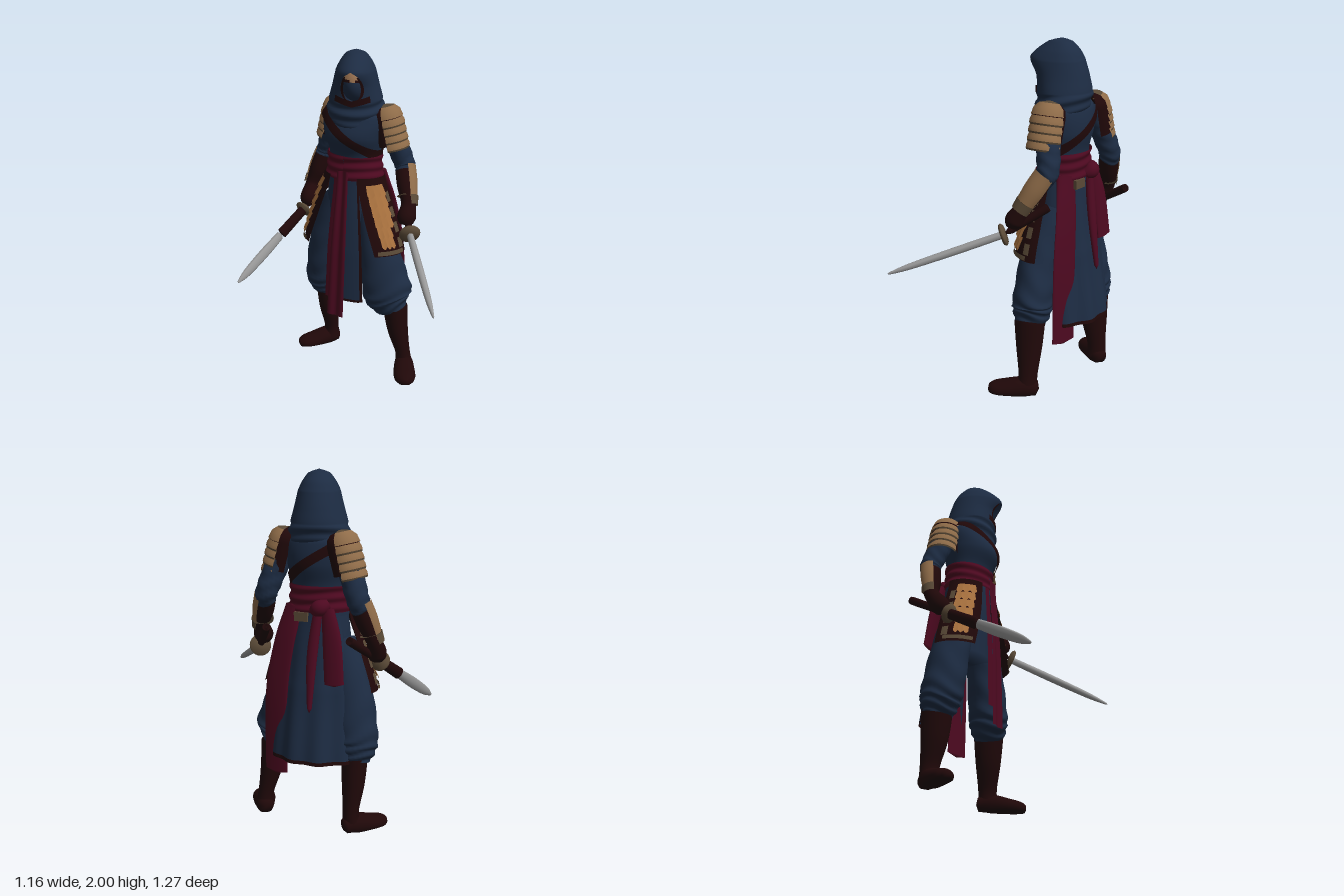
import * as THREE from 'three';
import { ParametricGeometry } from 'three/addons/geometries/ParametricGeometry.js';

const mat = (name, color) => {
  const m = new THREE.MeshStandardMaterial({ color, side: THREE.DoubleSide });
  m.name = name;
  return m;
};
const M = {
  blue: mat('blue cloth', 0x1d2c43), dark: mat('dark leather', 0x200809), red: mat('crimson sash', 0x4d0920),
  tan: mat('tan leather', 0x8f6c49), orange: mat('orange leather', 0xa56f3d), brown: mat('brown leather', 0x5a4a37),
  steel: mat('steel', 0x9a9a9a), skin: mat('skin', 0x987150),
};
const rad = THREE.MathUtils.degToRad;
const lerp = THREE.MathUtils.lerp;
const mix = (p, q, t) => [0, 1, 2].map((k) => lerp(p[k], q[k], t));

function add(parent, name, geo, material) {
  const m = new THREE.Mesh(geo, material);
  m.name = name;
  parent.add(m);
  return m;
}

// Catmull-Rom lookup in rows of [y, side radius, front radius, back radius], listed from top to bottom
function radii(rows, y) {
  let i = 0;
  while (i < rows.length - 2 && y < rows[i + 1][0]) i++;
  const t = THREE.MathUtils.clamp((rows[i][0] - y) / (rows[i][0] - rows[i + 1][0]), 0, 1);
  const at = (k) => rows[Math.min(Math.max(k, 0), rows.length - 1)];
  return [1, 2, 3].map((j) => {
    const [a, b, c, d] = [at(i - 1)[j], at(i)[j], at(i + 1)[j], at(i + 2)[j]];
    return 0.5 * (2 * b + (c - a) * t + (2 * a - 5 * b + 4 * c - d) * t * t + (3 * b - a - 3 * c + d) * t ** 3);
  });
}

// Surface wrapped round a body profile: f(u, v) gives [angle in degrees, height, offset]
function wrap(rows, f, nu = 32, nv = 20) {
  return new ParametricGeometry((u, v, p) => {
    const [deg, y, off = 0] = f(u, v);
    const [rx, rf, rb] = radii(rows, y);
    const a = rad(deg), c = Math.cos(a);
    p.set(Math.sin(a) * (rx + off), y, c * ((c > 0 ? rf : rb) + off));
  }, nu, nv);
}
const panel = (rows, a0, a1, y0, y1, off = 0, nu = 16, nv = 14) =>
  wrap(rows, (u, v) => [lerp(a0, a1, u), lerp(y0, y1, v), off], nu, nv);

// Tapered limb along points [x, y, z, radius 1, radius 2], with optional arc and wrinkles
function limb(pts, { ref = [0, 0, 1], arc = [0, 360], wrinkle = 0, nu = 18, nv = 24 } = {}) {
  const curve = (f) => new THREE.CatmullRomCurve3(pts.map((p) => new THREE.Vector3(...f(p))), false, 'catmullrom');
  const path = curve((p) => p.slice(0, 3)), size = curve((p) => [p[3], p[4] ?? p[3], 0]);
  const up = new THREE.Vector3(...ref);
  const open = arc[1] - arc[0] < 360;
  return new ParametricGeometry((u, v, p) => {
    const T = path.getTangent(v), r = size.getPoint(v);
    const s = up.clone().cross(T).normalize(), w = T.clone().cross(s);
    const a = rad(lerp(arc[0], arc[1], u));
    const cap = !open && (v < 1e-9 || v > 1 - 1e-9) ? 0.02 : 1;
    const k = cap * (1 + wrinkle * v * Math.sin(v * 38 + 2 * Math.sin(a * 2)));
    p.copy(path.getPoint(v)).addScaledVector(s, Math.cos(a) * r.x * k).addScaledVector(w, Math.sin(a) * r.y * k);
    p.y = Math.max(p.y, 0);
  }, nu, nv);
}

const TORSO = [[1.74, 0.06, 0.06, 0.06], [1.69, 0.13, 0.09, 0.1], [1.62, 0.2, 0.13, 0.14], [1.5, 0.19, 0.17, 0.15],
  [1.38, 0.16, 0.125, 0.125], [1.22, 0.17, 0.135, 0.13]];
const SKIRT = [[1.25, 0.17, 0.138, 0.135], [1.0, 0.215, 0.16, 0.165], [0.8, 0.25, 0.175, 0.2], [0.36, 0.285, 0.19, 0.265]];
const GUARD = [[1.27, 0.19, 0.15, 0.15], [1.0, 0.275, 0.2, 0.18], [0.78, 0.34, 0.225, 0.2]];
const HOOD = [[2.0, 0.004, 0.004, 0.004], [1.985, 0.055, 0.07, 0.055], [1.94, 0.09, 0.135, 0.1], [1.89, 0.115, 0.178, 0.128],
  [1.8, 0.137, 0.142, 0.155], [1.7, 0.162, 0.132, 0.172], [1.62, 0.165, 0.14, 0.15], [1.55, 0.13, 0.13, 0.1]];

function buildBody(root) {
  const g = new THREE.Group();
  g.name = 'body';
  g.position.set(0.11, 0, -0.28);
  g.rotation.y = rad(-28);
  root.add(g);
  add(g, 'tunic', panel(TORSO, 0, 360, 1.74, 1.22, 0, 36, 24), M.blue);
  add(g, 'hips', limb([[0, 1.27, 0, 0.155, 0.12], [0, 1.05, 0, 0.18, 0.125], [0, 0.8, 0, 0.17, 0.12]]), M.blue);
  // Diagonal strap from right shoulder to left waist
  add(g, 'chestStrap', wrap(TORSO, (u, v) => [u * 360, 1.52 - 0.13 * Math.sin(u * Math.PI * 2) + (v - 0.5) * 0.062, 0.012], 48, 2), M.dark);
  // Waist sash in overlapping turns
  add(g, 'waistSash', wrap(TORSO, (u, v) => [u * 360, lerp(1.385, 1.24, v), 0.012 + 0.005 * Math.sin(v * 16 + Math.sin(u * 12))], 40, 18), M.red);
  // Front cloths and back skirt
  add(g, 'frontCloth', panel(SKIRT, 0, 29, 1.25, 0.49, 0.003), M.blue);
  add(g, 'frontSideTrim', panel(SKIRT, 29, 33, 1.25, 0.48, 0.003, 2), M.dark);
  add(g, 'frontHem', panel(SKIRT, 0, 29, 0.49, 0.475, 0.003, 12, 2), M.dark);
  add(g, 'frontSashTail', wrap(SKIRT, (u, v) => [lerp(lerp(-10, -14, v), lerp(13, 8, v), u), lerp(1.3, 0.37, v), 0.02 + 0.006 * Math.sin(u * 9)], 10, 14), M.red);
  add(g, 'frontSashUnderTail', panel(SKIRT, -20, -9, 1.25, 0.48, 0.01), M.red);
  add(g, 'backSkirt', wrap(SKIRT, (u, v) => [lerp(125, 240, u), lerp(1.26, 0.43, v), 0.008 * v * Math.sin(u * 22)], 40, 16), M.blue);
  add(g, 'backHem', wrap(SKIRT, (u, v) => [lerp(125, 240, u), lerp(0.43, 0.41, v), 0.008 * Math.sin(u * 22)], 40, 2), M.dark);
  // Hip guards: dark backing, edge bands and rows of scales slanting outward
  for (const s of [1, -1]) {
    const h = new THREE.Group();
    h.name = s > 0 ? 'leftHipGuard' : 'rightHipGuard';
    g.add(h);
    add(h, 'backing', wrap(GUARD, (u, v) => [s * lerp(lerp(28, 44, v), 104, u), lerp(1.26, 0.8, v)], 16, 14), M.dark);
    add(h, 'lowerEdge', panel(GUARD, s * 48, s * 88, 0.835, 0.81, 0.012, 16, 2), M.brown);
    for (let i = 0; i < 6; i++) {
      const y = 1.22 - i * 0.06, a0 = 44 + i * 2, a1 = i < 4 ? 80 : 74;
      add(h, 'scaleRow', wrap(GUARD, (u, v) => [s * lerp(a0, a1, u), y - v * (0.056 + 0.016 * Math.abs(Math.sin(u * 9.42))), 0.004 + 0.014 * v], 18, 3),
        M.orange);
    }
    for (let i = 0; i < 4; i++) add(h, 'rimPlate', panel(GUARD, s * 82, s * 92, 1.17 - i * 0.09, 1.11 - i * 0.09, 0.008, 4, 3), M.brown);
  }
  // Knot, hanging ends and buckle at the back
  add(g, 'sashKnot', limb([[-0.1, 1.29, -0.11, 0.03], [-0.06, 1.27, -0.145, 0.045], [-0.02, 1.25, -0.13, 0.03]], { ref: [0, 1, 0] }), M.red);
  add(g, 'shortSashEnd', limb([[-0.1, 1.27, -0.125, 0.035, 0.025], [-0.135, 1.1, -0.15, 0.055, 0.022], [-0.16, 0.85, -0.175, 0.058, 0.016]], { nv: 40 }), M.red);
  add(g, 'thinSashEnd', limb([[-0.05, 1.27, -0.135, 0.025, 0.025], [-0.03, 1.0, -0.18, 0.03, 0.02], [-0.03, 0.7, -0.22, 0.012, 0.012]]), M.red);
  const buckle = add(g, 'backBuckle', new THREE.BoxGeometry(0.08, 0.05, 0.02), M.brown);
  buckle.position.set(0.05, 1.215, -0.142);
}

function buildHead(root) {
  const g = new THREE.Group();
  g.name = 'head';
  g.position.set(0.112, 0, -0.26);
  g.rotation.y = rad(-8);
  root.add(g);
  // Hood with an almond-shaped opening in front, edged in dark leather
  const opening = (y) => 30 * Math.sqrt(Math.max(0, 1 - ((y - 1.805) / 0.088) ** 2));
  add(g, 'hood', wrap(HOOD, (u, v) => {
    const y = 2 - 0.45 * v, o = opening(y);
    return [lerp(o, 360 - o, u), y, y < 1.72 ? 0.006 * Math.sin(y * 95 + 3 * Math.cos(u * 6.28)) : 0];
  }, 40, 45), M.blue);
  for (const s of [1, -1]) add(g, 'hoodEdge', wrap(HOOD, (u, v) => {
    const y = lerp(1.87, 1.725, v);
    return [s * opening(y) * lerp(0.76, 1.02, u), y, -0.004];
  }, 3, 20), M.dark);
  add(g, 'darkCollar', wrap(HOOD, (u, v) => {
    const a = lerp(-40, 40, u);
    return [a, 1.69 + Math.abs(a) * 0.0007 + v * 0.036, 0.007];
  }, 24, 2), M.dark);
  const face = new THREE.Group();
  face.name = 'face';
  face.position.set(0, 1.81, 0.02);
  face.scale.set(0.08, 0.11, 0.098);
  g.add(face);
  const patch = (name, r, phi, dphi, th, dth, m) =>
    add(face, name, new THREE.SphereGeometry(r, 24, 16, rad(phi), rad(dphi), rad(th), rad(dth)), m);
  patch('mask', 1, 0, 360, 0, 180, M.blue);
  patch('brow', 1.03, 35, 110, 44, 36, M.skin);
  for (const phi of [48, 102]) patch('eye', 1.05, phi, 30, 73, 8, M.dark);
}

// Shoulder guard of overlapping plates over a dark lining, open towards the neck
function buildPauldron(root, name, pos, yaw, tilt) {
  const g = new THREE.Group();
  g.name = name;
  g.position.set(...pos);
  g.rotation.set(0, yaw, tilt, 'YXZ');
  root.add(g);
  const plate = (part, pts, m, half = 1.5) =>
    add(g, part, new THREE.LatheGeometry(pts.map((p) => new THREE.Vector2(...p)), 22, Math.PI / 2 - half, half * 2), m);
  plate('lining', [[0.088, -0.16], [0.092, 0], [0.084, 0.036], [0.058, 0.062], [0.01, 0.074]], M.dark, 2.2);
  plate('cap', [[0.097, 0], [0.088, 0.04], [0.06, 0.068]], M.tan);
  plate('capTop', [[0.06, 0.068], [0.01, 0.08]], M.brown);
  for (let i = 0; i < 4; i++) {
    const y = -i * 0.046;
    plate('plate', [[0.101, y - 0.044], [0.1, y - 0.026], [0.088, y + 0.006]], M.tan);
    plate('plateEdge', [[0.097, y - 0.054], [0.101, y - 0.044]], M.brown);
  }
}

function buildArms(root) {
  const arms = [
    { side: 'left', sh: [0.295, 1.61, -0.22], el: [0.405, 1.33, -0.235], wr: [0.435, 1.12, -0.1], hand: [0.425, 1.05, -0.06],
      arc: [-55, 70], yaw: rad(-22), tilt: rad(14), pad: [0.295, 1.61, -0.22] },
    { side: 'right', sh: [-0.01, 1.61, -0.42], el: [-0.075, 1.33, -0.515], wr: [-0.165, 1.1, -0.5], hand: [-0.185, 1.02, -0.45],
      arc: [170, 250], yaw: rad(146), tilt: rad(14), pad: [0.0, 1.61, -0.425] },
  ];
  for (const a of arms) {
    const mid = (t, r) => [...mix(a.el, a.wr, t), r];
    add(root, a.side + 'Sleeve', limb([[...a.sh, 0.078], [...mix(a.sh, a.el, 0.5), 0.068], [...a.el, 0.062], mid(0.3, 0.055)],
      { wrinkle: 0.06 }), M.blue);
    add(root, a.side + 'Glove', limb([mid(0.12, 0.058), mid(0.55, 0.057), [...a.wr, 0.044], [...a.hand, 0.056], [a.hand[0], a.hand[1] - 0.045, a.hand[2] + 0.015, 0.035]]), M.dark);
    add(root, a.side + 'Bracer', limb([mid(0.08, 0.066), mid(0.5, 0.066), mid(0.95, 0.054)], { arc: a.arc }), M.tan);
    add(root, a.side + 'BracerRim', limb([mid(0.8, 0.063), mid(1.05, 0.056)], { arc: a.arc, nv: 3 }), M.brown);
    buildPauldron(root, a.side + 'Pauldron', a.pad, a.yaw, a.tilt);
  }
}

function buildLegs(root) {
  const baggy = { wrinkle: 0.06, nu: 26, nv: 36 }, flat = { ref: [0, 1, 0] };
  add(root, 'leftTrouser', limb([[0.2, 1.1, -0.23, 0.09, 0.09], [0.26, 0.82, -0.175, 0.115, 0.105], [0.315, 0.56, -0.145, 0.15, 0.115],
    [0.335, 0.48, -0.14, 0.135, 0.11], [0.37, 0.41, -0.135, 0.08, 0.085]], baggy), M.blue);
  add(root, 'rightTrouser', limb([[0.02, 1.1, -0.33, 0.09, 0.09], [-0.05, 0.82, -0.38, 0.115, 0.11], [-0.075, 0.56, -0.42, 0.125, 0.12],
    [-0.075, 0.47, -0.435, 0.115, 0.11], [-0.07, 0.4, -0.445, 0.078, 0.085]], baggy), M.blue);
  add(root, 'leftBootShaft', limb([[0.37, 0.45, -0.135, 0.078, 0.09], [0.39, 0.28, -0.135, 0.065, 0.075], [0.425, 0.12, -0.135, 0.046, 0.055],
    [0.435, 0.03, -0.13, 0.055, 0.06]]), M.dark);
  add(root, 'rightBootShaft', limb([[-0.07, 0.45, -0.445, 0.075, 0.09], [-0.06, 0.28, -0.455, 0.065, 0.078], [-0.045, 0.12, -0.475, 0.046, 0.055],
    [-0.05, 0.03, -0.475, 0.055, 0.06]]), M.dark);
  add(root, 'leftFoot', limb([[0.43, 0.035, -0.2, 0.04, 0.04], [0.435, 0.04, -0.12, 0.058, 0.06], [0.44, 0.025, 0.0, 0.068, 0.05],
    [0.442, 0.02, 0.06, 0.056, 0.04], [0.442, 0.018, 0.095, 0.025, 0.022]], flat), M.dark);
  add(root, 'rightFoot', limb([[0.0, 0.035, -0.505, 0.04, 0.04], [-0.06, 0.04, -0.475, 0.058, 0.06], [-0.16, 0.025, -0.425, 0.066, 0.05],
    [-0.22, 0.02, -0.395, 0.055, 0.04], [-0.255, 0.018, -0.38, 0.025, 0.022]], flat), M.dark);
  // Long sash end over the left hip, facing outward and back
  add(root, 'sideSashTail', limb([[0.25, 1.27, -0.31, 0.025, 0.06], [0.315, 1.05, -0.325, 0.014, 0.07], [0.36, 0.75, -0.325, 0.012, 0.078],
    [0.365, 0.3, -0.325, 0.012, 0.078]], { ref: [0.75, 0, 0.66], nv: 80 }), M.red);
}

// Sword from pommel through guard to tip; the sleeve covers the blade's root
function buildSword(root, name, pommel, guard, tip, guardSize, width, thick, sleeve) {
  const g = new THREE.Group();
  g.name = name;
  root.add(g);
  const on = (t, r1, r2) => [...mix(guard, tip, t), r1, r2];
  const ref = [0.3, 0, 1];
  add(g, 'grip', limb([[...pommel, 0.02], [...mix(pommel, guard, 0.1), 0.024], [...guard, 0.02]], { nu: 12, nv: 12 }), M.dark);
  add(g, 'guard', limb([on(-0.025, guardSize * 0.7), on(0, guardSize), on(0.025, guardSize * 0.8)], { ref, nv: 8 }), M.brown);
  if (sleeve) add(g, 'bladeSleeve', limb([on(0, 0.03, 0.024), on(sleeve, 0.034, 0.02)], { ref, nv: 40 }), M.dark);
  add(g, 'blade', limb([on(sleeve, width * 0.85, thick), on(lerp(sleeve, 1, 0.4), width, thick), on(lerp(sleeve, 1, 0.8), width * 0.8, thick * 0.8),
    on(1, width * 0.2, thick * 0.3)], { ref, nu: 8, nv: 40 }), M.steel);
}

export function createModel() {
  const root = new THREE.Group();
  root.name = 'hoodedSwordFighter';
  buildBody(root);
  buildHead(root);
  buildArms(root);
  buildLegs(root);
  buildSword(root, 'leftSword', [0.41, 1.13, -0.24], [0.445, 0.97, 0.0], [0.575, 0.74, 0.63], 0.064, 0.022, 0.022, 0);
  buildSword(root, 'rightSword', [-0.02, 1.13, -0.62], [-0.215, 0.96, -0.4], [-0.578, 0.635, 0.03], 0.056, 0.032, 0.012, 0.35);
  return root;
}
